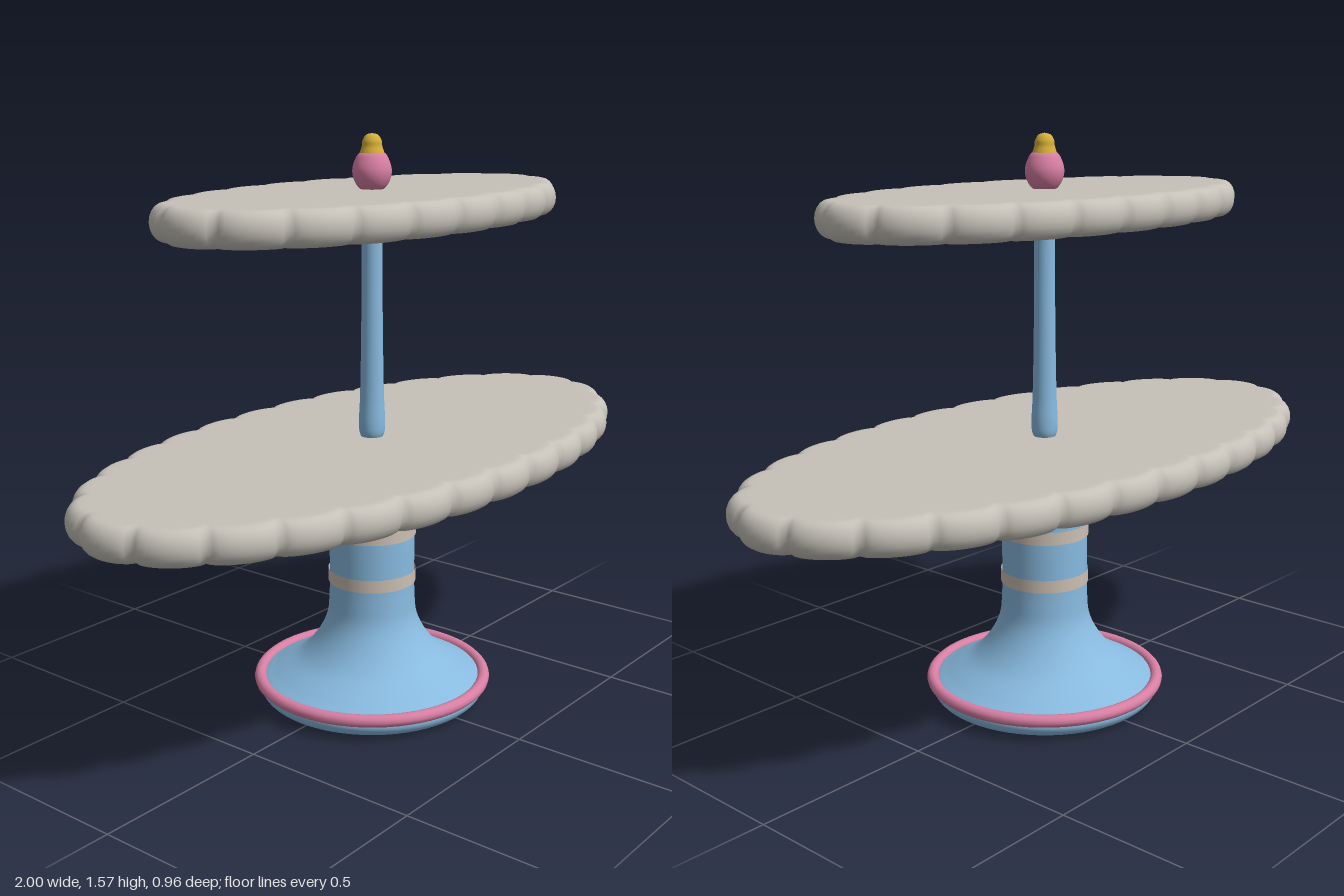
import * as THREE from 'three';

const mat = (name, color, side = THREE.FrontSide) => {
  const m = new THREE.MeshStandardMaterial({ color, side });
  m.name = name;
  return m;
};

// Smooth surface of revolution from a few [radius, y] points
function turned(name, points, material, samples = 60) {
  const curve = new THREE.CatmullRomCurve3(points.map(([r, y]) => new THREE.Vector3(r, y, 0)), false, 'centripetal');
  const profile = curve.getPoints(samples).map(p => new THREE.Vector2(Math.max(p.x, 0), p.y));
  const mesh = new THREE.Mesh(new THREE.LatheGeometry(profile, 64), material);
  mesh.name = name;
  return mesh;
}

function ring(name, radius, tube, y, material) {
  const mesh = new THREE.Mesh(new THREE.TorusGeometry(radius, tube, 12, 64), material);
  mesh.rotation.x = Math.PI / 2;
  mesh.position.y = y;
  mesh.name = name;
  return mesh;
}

// Oval plate with evenly spaced scallops and a rounded rim
function scallopedPlate(name, a, b, scallops, y0, y1, material) {
  const depth = 0.028, perScallop = 12, n = scallops * perScallop;
  const oval = new THREE.EllipseCurve(0, 0, a - depth, b - depth);
  oval.arcLengthDivisions = 2000;
  const h = (y1 - y0) / 2, mid = (y0 + y1) / 2;

  // Section from the lower face round the rim to the upper face: [inset, y]
  const section = [[0.12, y0], [0.05, y0]];
  for (let i = 0; i <= 10; i++) {
    const t = -Math.PI / 2 + Math.PI * i / 10;
    section.push([0.034 * (1 - Math.cos(t)), mid + h * Math.sin(t)]);
  }
  section.push([0.05, y1], [0.12, y1]);

  const pos = [], index = [];
  for (const [inset, y] of section) {
    for (let i = 0; i < n; i++) {
      const p = oval.getPointAt(i / n), d = oval.getTangentAt(i / n);
      const s = ((i / perScallop + 0.5) % 1) * 2 - 1;
      const out = depth * Math.sqrt(1 - 0.96 * s * s) - inset;
      pos.push(p.x + d.y * out, y, p.y - d.x * out);
    }
  }
  for (let r = 0; r < section.length - 1; r++) {
    for (let i = 0; i < n; i++) {
      const j = (i + 1) % n, p = r * n, q = p + n;
      index.push(p + i, q + i, p + j, p + j, q + i, q + j);
    }
  }
  // Close both faces with a fan to the centre
  const low = pos.length / 3, high = low + 1, last = (section.length - 1) * n;
  pos.push(0, y0, 0, 0, y1, 0);
  for (let i = 0; i < n; i++) {
    const j = (i + 1) % n;
    index.push(low, i, j, high, last + j, last + i);
  }
  const geo = new THREE.BufferGeometry();
  geo.setAttribute('position', new THREE.Float32BufferAttribute(pos, 3));
  geo.setIndex(index);
  geo.computeVertexNormals();
  const mesh = new THREE.Mesh(geo, material);
  mesh.name = name;
  return mesh;
}

export function createModel() {
  const group = new THREE.Group();
  group.name = 'tieredStand';
  const blue = mat('sky blue', 0x88badf);
  const pink = mat('rose pink', 0xd87fa3);
  const stone = mat('warm grey', 0xc5c1b8);
  const cream = mat('cream', 0xcbbfb2, THREE.DoubleSide);
  const gold = mat('gold', 0xd6ae38);

  // Flared pedestal with trim rings
  group.add(turned('pedestal', [
    [0, 0], [0.27, 0], [0.305, 0.008], [0.32, 0.03], [0.315, 0.05], [0.27, 0.078], [0.2, 0.122],
    [0.155, 0.175], [0.127, 0.235], [0.12, 0.3], [0.119, 0.45], [0.12, 0.59], [0.127, 0.63], [0.14, 0.67],
  ], blue, 90));
  group.add(ring('baseRing', 0.318, 0.017, 0.055, pink));
  group.add(ring('collarRing', 0.145, 0.015, 0.656, pink));

  // Painted bands round the column
  for (const y of [0.357, 0.494]) {
    const band = new THREE.Mesh(new THREE.CylinderGeometry(0.1225, 0.1225, 0.036, 64, 1, true), cream);
    band.position.y = y;
    band.name = 'columnBand';
    group.add(band);
  }

  // Two tiers
  group.add(scallopedPlate('lowerPlate', 1, 0.48, 28, 0.665, 0.755, stone));
  group.add(scallopedPlate('upperPlate', 0.72, 0.36, 20, 1.335, 1.425, stone));

  // Post between the tiers
  group.add(turned('post', [
    [0.026, 0.745], [0.034, 0.765], [0.036, 0.79], [0.033, 0.86], [0.03, 1.0], [0.028, 1.2], [0.028, 1.345],
  ], blue));

  // Finial
  group.add(turned('finialKnob', [
    [0, 1.415], [0.03, 1.424], [0.047, 1.447], [0.052, 1.473], [0.045, 1.5], [0.033, 1.518], [0, 1.525],
  ], pink));
  group.add(turned('finialTip', [
    [0.035, 1.505], [0.032, 1.519], [0.027, 1.535], [0.025, 1.55], [0.016, 1.564], [0, 1.569],
  ], gold));
  return group;
}
